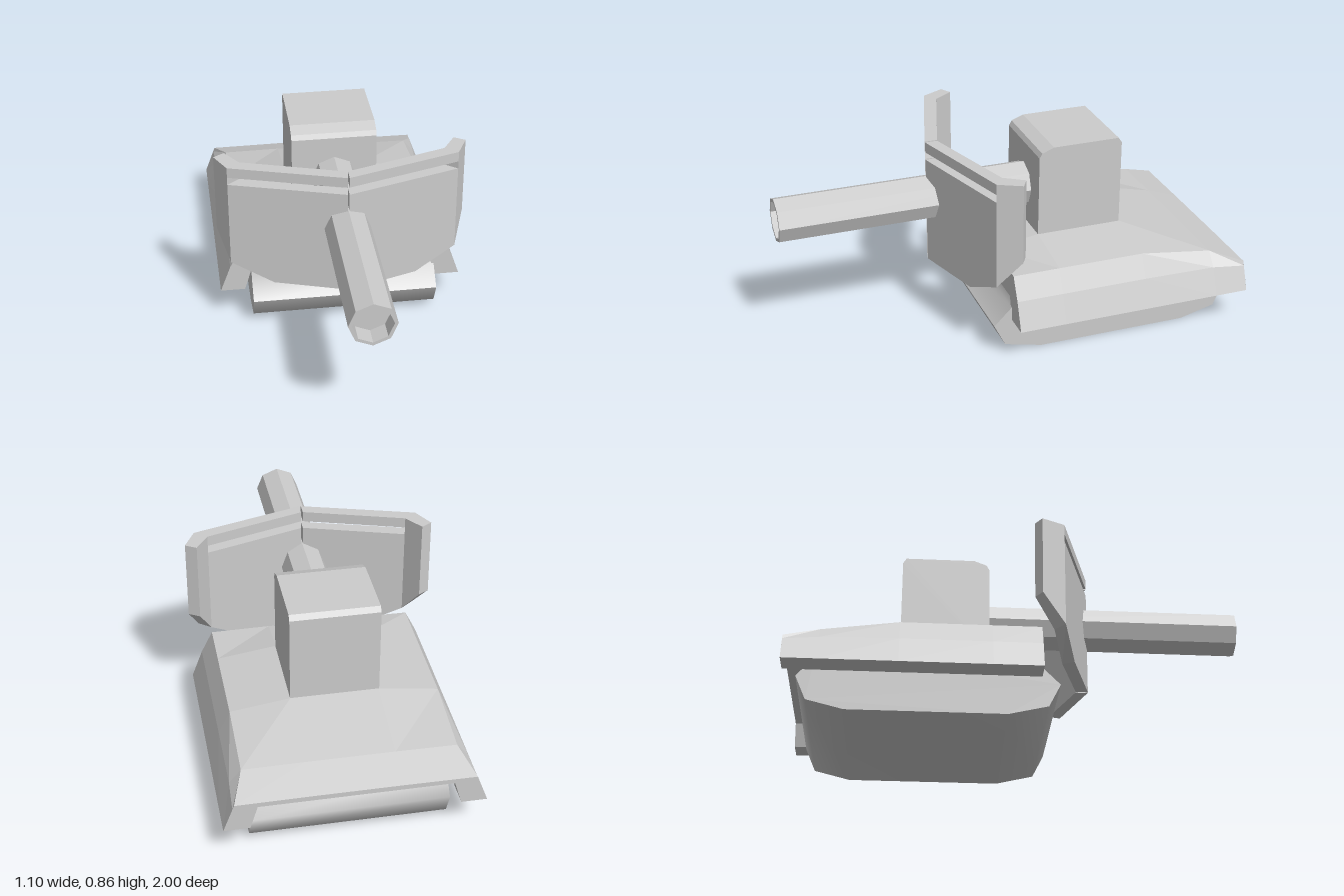
import * as THREE from 'three';
import { toCreasedNormals } from 'three/addons/utils/BufferGeometryUtils.js';

const flatMat = new THREE.MeshStandardMaterial({ color: 0xcccccc, flatShading: true });
const smoothMat = new THREE.MeshStandardMaterial({ color: 0xcccccc });

// Closed solid through matching cross-sections, each a loop of [x, y, z]
function loft(rings) {
  const n = rings[0].length;
  const tris = [];
  for (let r = 0; r < rings.length - 1; r++) {
    const a = rings[r], b = rings[r + 1];
    for (let i = 0; i < n; i++) {
      const j = (i + 1) % n;
      tris.push([a[i], b[i], b[j]], [a[i], b[j], a[j]]);
    }
  }
  const first = rings[0], last = rings[rings.length - 1];
  for (let i = 1; i < n - 1; i++) {
    tris.push([first[0], first[i], first[i + 1]], [last[0], last[i + 1], last[i]]);
  }
  // Turn every face outward if the enclosed volume comes out negative
  let volume = 0;
  for (const [a, b, c] of tris) {
    volume += new THREE.Vector3(...a).dot(new THREE.Vector3(...b).cross(new THREE.Vector3(...c)));
  }
  if (volume < 0) tris.forEach((t) => t.reverse());
  const geo = new THREE.BufferGeometry();
  geo.setAttribute('position', new THREE.Float32BufferAttribute(tris.flat(2), 3));
  geo.computeVertexNormals();
  return geo;
}

// Side profile of [z, y] points pulled across from x0 to x1
function sideExtrude(points, x0, x1) {
  const shape = new THREE.Shape(points.map(([z, y]) => new THREE.Vector2(z, y)));
  const geo = new THREE.ExtrudeGeometry(shape, { depth: x1 - x0, bevelEnabled: false });
  geo.rotateY(-Math.PI / 2);
  geo.translate(x1, 0, 0);
  return geo;
}

export function createModel() {
  const model = new THREE.Group();
  model.name = 'gunCarriage';
  const add = (name, geo, mat = flatMat, parent = model) => {
    const mesh = new THREE.Mesh(geo, mat);
    mesh.name = name;
    parent.add(mesh);
    return mesh;
  };

  // Hull stations: z, ridge height, shoulder x, shoulder y, knee x, knee y
  const stations = [
    [0.08, 0.387, 0.45, 0.385, 0.5, 0.285],
    [-0.13, 0.422, 0.45, 0.385, 0.5, 0.285],
    [-0.52, 0.422, 0.45, 0.385, 0.5, 0.285],
    [-0.85, 0.342, 0.45, 0.34, 0.5, 0.28],
    [-1.0, 0.287, 0.5, 0.285, 0.507, 0.265],
  ];

  // Sloping deck
  add('deck', loft(stations.map(([z, ridge, sx, sy]) => [
    [-0.19, ridge, z], [0.19, ridge, z], [sx, sy, z],
    [0.41, 0.265, z], [-0.41, 0.265, z], [-sx, sy, z],
  ])));

  // Splayed side skirts
  for (const s of [1, -1]) {
    add(s > 0 ? 'leftSkirt' : 'rightSkirt', loft(stations.map(([z, , sx, sy, kx, ky]) => [
      [s * sx, sy, z], [s * kx, ky, z], [s * 0.547, 0.16, z],
      [s * 0.437, 0.16, z], [s * 0.405, 0.265, z],
    ])));
  }

  // Wide rolling track under the hull
  const track = sideExtrude([
    [-0.06, 0], [0.11, 0.04], [0.16, 0.14], [0.08, 0.22], [0.07, 0.3],
    [-0.86, 0.28], [-0.88, 0.22], [-0.945, 0.145], [-0.9, 0.04], [-0.74, 0],
  ], -0.405, 0.43);
  add('track', toCreasedNormals(track, 1.2), smoothMat);

  // Gun housing with softened front and rear top edges
  add('gunHousing', sideExtrude([
    [-0.13, 0.38], [-0.133, 0.79], [-0.145, 0.812], [-0.2, 0.833],
    [-0.505, 0.833], [-0.52, 0.81], [-0.52, 0.38],
  ], -0.192, 0.192));

  // Eight-sided barrel with a recessed muzzle
  const bore = [[0, -0.2], [0.1, -0.2], [0.1, 1], [0.085, 1], [0.085, 0.92], [0, 0.92]];
  const barrel = new THREE.LatheGeometry(bore.map(([r, y]) => new THREE.Vector2(r, y)), 8);
  barrel.rotateX(Math.PI / 2);
  barrel.translate(0, 0.595, 0);
  add('barrel', barrel);

  // Swept shield in two halves: plate, sight slot, upper rail and folded wing
  for (const s of [1, -1]) {
    const half = new THREE.Group();
    half.name = s > 0 ? 'leftShield' : 'rightShield';
    model.add(half);

    // Plan points: front x, front z, back x, back z
    const inner = [0.004, 0.325, 0.004, 0.27];
    const middle = [0.315, 0.231, 0.29, 0.18];
    const fold = [0.5, 0.175, 0.445, 0.132];
    const tip = [0.55, 0.075, 0.502, 0.046];
    const section = ([fx, fz, bx, bz], frontLow, backLow, high) => [
      [s * fx, frontLow, fz], [s * fx, high, fz],
      [s * bx, high, bz], [s * bx, backLow, bz],
    ];

    add('shieldPlate', loft([
      section(inner, 0.287, 0.287, 0.775),
      section(middle, 0.29, 0.29, 0.775),
      section(fold, 0.377, 0.377, 0.775),
    ]), flatMat, half);
    add('shieldRail', loft([
      section(inner, 0.81, 0.81, 0.857),
      section(fold, 0.81, 0.81, 0.857),
    ]), flatMat, half);
    add('shieldWing', loft([
      section(fold, 0.377, 0.377, 0.857),
      section(tip, 0.5, 0.5, 0.857),
    ]), flatMat, half);
  }

  return model;
}
